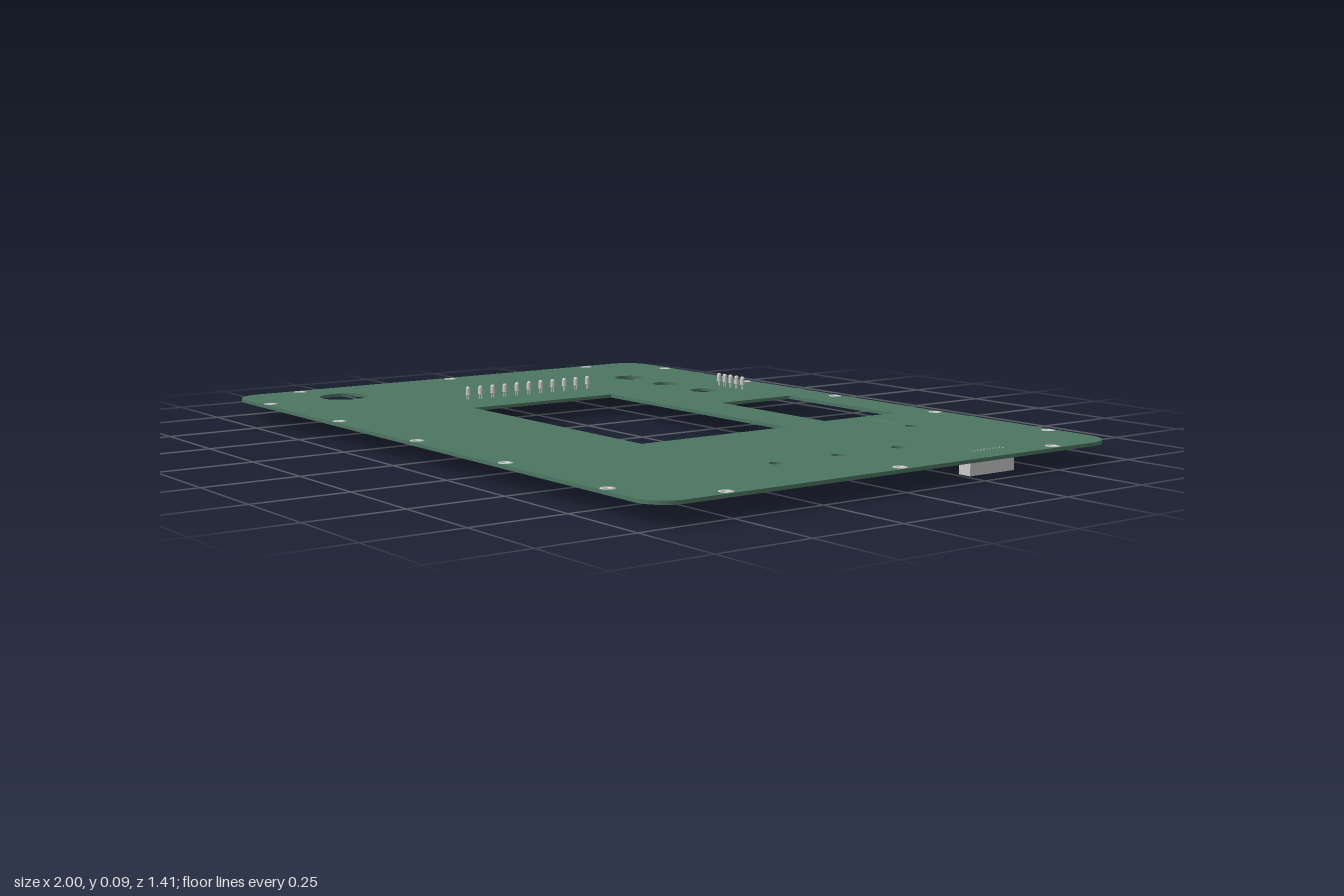
import * as THREE from 'three';

const Y0 = 0.046, Y1 = 0.055; // underside and top of the board
const grey = new THREE.MeshStandardMaterial({ color: 0xcccccc });
const green = new THREE.MeshStandardMaterial({ color: 0x4c7562 });

function add(parent, name, geometry, x = 0, y = 0, z = 0, material = grey) {
  const mesh = new THREE.Mesh(geometry, material);
  mesh.name = name;
  mesh.position.set(x, y, z);
  parent.add(mesh);
  return mesh;
}

function group(parent, name, x = 0, y = 0, z = 0) {
  const g = new THREE.Group();
  g.name = name;
  g.position.set(x, y, z);
  parent.add(g);
  return g;
}

const box = (w, h, d) => new THREE.BoxGeometry(w, h, d);

// Plan outlines are drawn with shape y = -z, then laid flat
function roundHole(shape, x, z, r) {
  shape.holes.push(new THREE.Path().absarc(x, -z, r, 0, Math.PI * 2, true));
}

function rectHole(shape, x0, x1, z0, z1) {
  shape.holes.push(new THREE.Path([[x0, -z0], [x1, -z0], [x1, -z1], [x0, -z1]]
    .map(([x, y]) => new THREE.Vector2(x, y))));
}

function slab(shape, height) {
  return new THREE.ExtrudeGeometry(shape, { depth: height, bevelEnabled: false, curveSegments: 16 })
    .rotateX(-Math.PI / 2);
}

// Screw positions around the rim
const screws = [];
for (const s of [-1, 1]) {
  for (let i = -2; i <= 2; i++) screws.push([i * 0.4, s * 0.682]);
  for (let i = -1; i <= 1; i++) screws.push([s * 0.977, i * 0.502]);
}

function boardGeometry() {
  const w = 1, d = 0.703, r = 0.08;
  const s = new THREE.Shape();
  s.absarc(w - r, d - r, r, 0, Math.PI / 2);
  s.absarc(-w + r, d - r, r, Math.PI / 2, Math.PI);
  s.absarc(-w + r, -d + r, r, Math.PI, Math.PI * 1.5);
  s.absarc(w - r, -d + r, r, Math.PI * 1.5, Math.PI * 2);
  s.closePath();
  rectHole(s, -0.078, 0.348, -0.578, -0.333);
  rectHole(s, -0.402, 0.366, -0.187, 0.272);
  const holes = [[-0.68, -0.455, 0.044], [-0.5, -0.455, 0.037], [-0.317, -0.455, 0.037],
    [-0.815, 0.449, 0.066], [0.543, -0.455, 0.016],
    [0.77, -0.19, 0.017], [0.77, 0, 0.017], [0.77, 0.19, 0.017]];
  for (const [x, z, r2] of holes) roundHole(s, x, z, r2);
  for (const [x, z] of screws) roundHole(s, x, z, 0.011);
  return slab(s, Y1 - Y0);
}

// Plated ring lining a screw hole, with a flange on both faces
const ringGeometry = new THREE.LatheGeometry([
  [0.008, Y0 - 0.0006], [0.018, Y0 - 0.0006], [0.018, Y1 + 0.0006],
  [0.008, Y1 + 0.0006], [0.008, Y0 - 0.0006],
].map(([x, y]) => new THREE.Vector2(x, y)), 20);

// Domed lamp with a collar, standing on two leads
const lampGeometry = new THREE.LatheGeometry([
  [0, 0.068], [0.0075, 0.068], [0.0075, 0.071], [0.0064, 0.071],
  [0.0064, 0.086], [0.0055, 0.09], [0.003, 0.0925], [0, 0.093],
].map(([x, y]) => new THREE.Vector2(x, y)), 12);

function addLamp(parent, x, z, alongX) {
  const lamp = group(parent, 'lamp', x, 0, z);
  add(lamp, 'lampBulb', lampGeometry);
  for (const s of [-0.003, 0.003]) {
    add(lamp, 'lampLead', box(0.0022, 0.028, 0.0022), alongX ? s : 0, 0.056, alongX ? 0 : s);
  }
}

export function createModel() {
  const model = new THREE.Group();
  model.name = 'controlPanelBoard';
  add(model, 'board', boardGeometry(), 0, Y0, 0, green);

  const rings = group(model, 'screwRings');
  for (const [x, z] of screws) add(rings, 'screwRing', ringGeometry, x, 0, z);

  // Indicator lamps: a long column and a short row
  const lamps = group(model, 'indicatorLamps');
  for (let i = 0; i < 11; i++) addLamp(lamps, -0.543, -0.203 + i * 0.0406, false);
  for (let i = 0; i < 5; i++) addLamp(lamps, -0.37 + i * 0.027, -0.556, true);

  // Shrouded connector, open downwards, with a keying notch on the inner wall
  const connector = group(model, 'shroudedConnector', 0.919, 0, -0.339);
  const wall = new THREE.Shape([[-0.018, -0.074], [0.018, -0.074], [0.018, 0.074], [-0.018, 0.074]]
    .map(([x, y]) => new THREE.Vector2(x, y)));
  rectHole(wall, -0.0135, 0.0135, -0.069, 0.069);
  add(connector, 'connectorBase', box(0.036, 0.01, 0.148), 0, 0.039, 0);
  for (const s of [-1, 1]) {
    add(connector, 'connectorEnd', box(0.036, 0.034, 0.005), 0, 0.017, s * 0.0715);
    add(connector, 'connectorInnerWall', box(0.0045, 0.034, 0.061), -0.01575, 0.017, s * 0.0385);
  }
  add(connector, 'connectorOuterWall', box(0.0045, 0.034, 0.138), 0.01575, 0.017, 0);
  for (let i = 0; i < 10; i++) {
    for (const s of [-1, 1]) {
      add(connector, 'connectorPin', box(0.0026, 0.05, 0.0026), s * 0.0053, 0.031, (i - 4.5) * 0.0106);
    }
  }

  // Single row pin header under the board
  const header = group(model, 'pinHeader', 0.45, 0, -0.453);
  add(header, 'headerStrip', box(0.088, 0.009, 0.01), 0, 0.0415, 0);
  for (let i = 0; i < 8; i++) {
    add(header, 'headerPin', box(0.003, 0.05, 0.003), (i - 3.5) * 0.0112, 0.031, 0);
  }

  // Small surface mounted parts under the rear corner
  const parts = group(model, 'surfaceParts');
  for (let i = 0; i < 8; i++) {
    for (let j = 0; j < 4; j++) {
      const turned = (i + j) % 2;
      add(parts, 'chipResistor', box(turned ? 0.006 : 0.012, 0.004, turned ? 0.012 : 0.006),
        0.625 + i * 0.034, Y0 - 0.002, -0.61 + j * 0.036);
    }
  }
  for (const x of [0.71, 0.81]) {
    add(parts, 'chip', box(0.024, 0.006, 0.016), x, Y0 - 0.003, -0.592);
  }
  return model;
}
